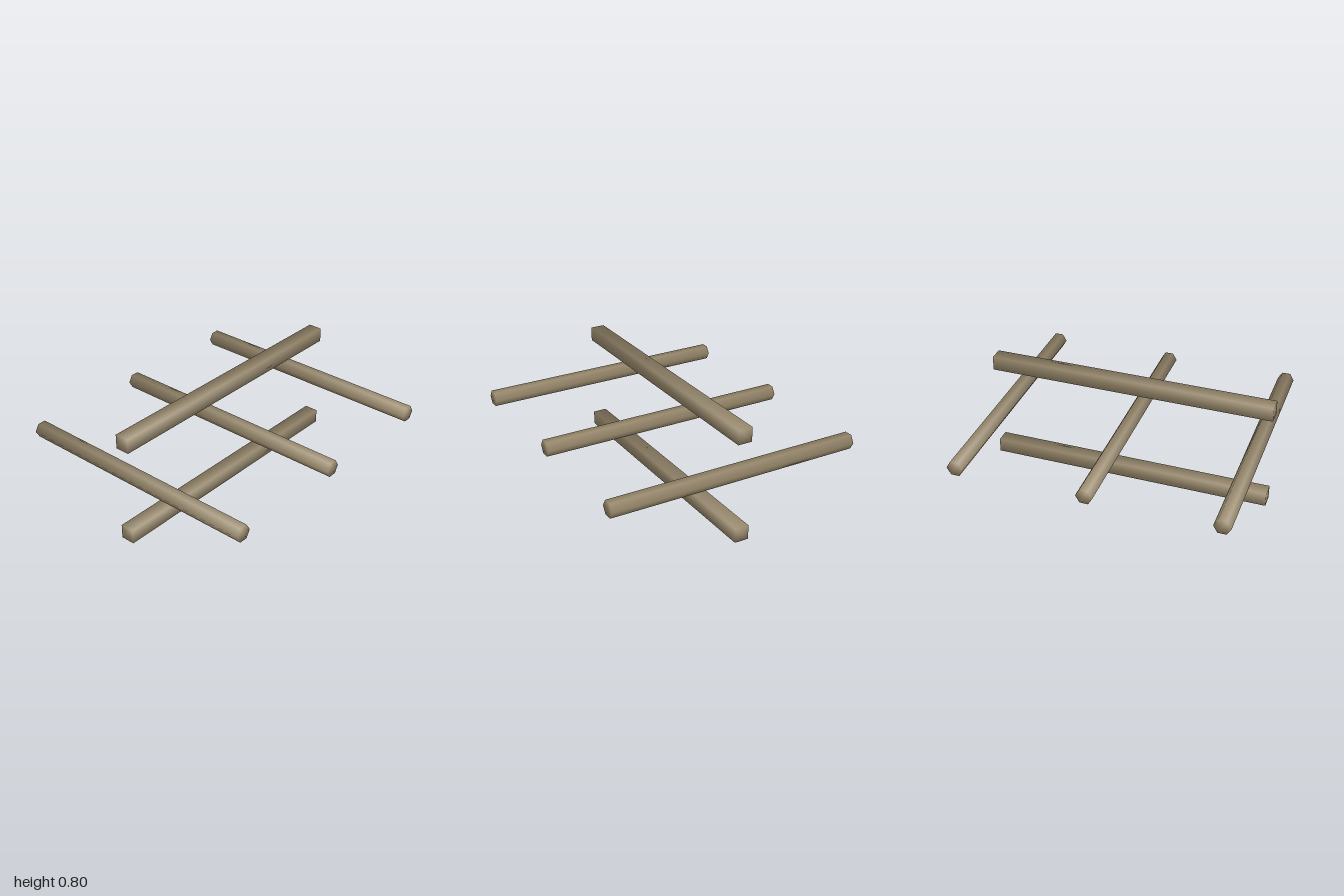
import * as THREE from 'three';

// Prism along y whose normals blend softly around edges and over the ends
function softPrism(sides, radius, length, start, axialWeight) {
  const g = new THREE.CylinderGeometry(radius, radius, length, sides, 1, false, start);
  const { position, normal } = g.attributes;
  const n = new THREE.Vector3();
  for (let i = 0; i < position.count; i++) {
    n.fromBufferAttribute(position, i);
    const end = Math.sign(n.y);
    n.set(n.x / radius, end * axialWeight, n.z / radius).normalize();
    normal.setXYZ(i, n.x, n.y, n.z);
  }
  return g;
}

export function createModel() {
  const group = new THREE.Group();
  const wood = new THREE.MeshStandardMaterial({ color: 0x9b8b6e });

  const add = (name, geometry, x, y) => {
    const mesh = new THREE.Mesh(geometry, wood);
    mesh.name = name;
    mesh.position.set(x, y, 0);
    group.add(mesh);
  };

  // Square rails running left to right
  const rail = softPrism(4, 0.05 * Math.SQRT2, 2, Math.PI / 4, 0.71).rotateZ(Math.PI / 2);
  add('lowerRail', rail, 0, 0.05);
  add('upperRail', rail, 0, 0.75);

  // Hexagonal poles running front to back, flat sides up and down
  const pole = softPrism(6, 0.05 / Math.cos(Math.PI / 6), 1.8, Math.PI / 2, 0.77).rotateX(Math.PI / 2);
  add('rightPole', pole, -0.9, 0.45);
  add('middlePole', pole, 0, 0.45);
  add('leftPole', pole, 0.9, 0.45);

  return group;
}
